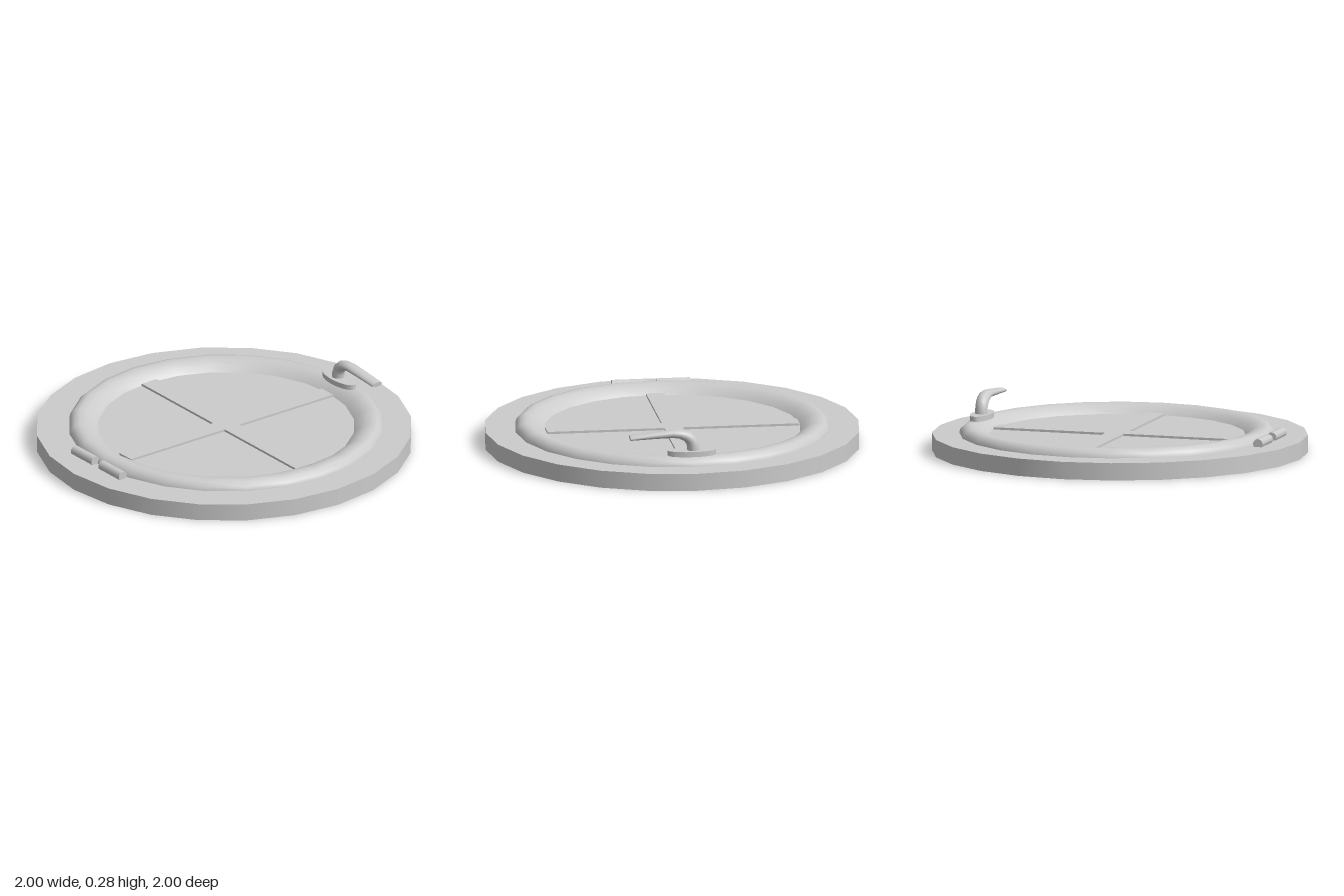
import * as THREE from 'three';

const SEG = 24, TOP = 0.093, RING_Z = -0.015;

export function createModel() {
  const model = new THREE.Group();
  const mat = new THREE.MeshStandardMaterial({ color: 0xcccccc, side: THREE.DoubleSide });
  const add = (name, geometry, x = 0, y = 0, z = 0) => {
    const mesh = new THREE.Mesh(geometry, mat);
    mesh.name = name;
    mesh.position.set(x, y, z);
    model.add(mesh);
    return mesh;
  };

  // Outer frame: an open-bottomed rim with a flat annulus on top
  add('frameWall', new THREE.CylinderGeometry(1, 1, TOP, SEG, 1, true), 0, TOP / 2);
  add('frameTop', new THREE.RingGeometry(0.81, 1, SEG).rotateX(-Math.PI / 2), 0, TOP);

  // Domed sash ring, hollow underneath
  const profile = [
    [0.84, 0.093], [0.834, 0.114], [0.812, 0.134], [0.785, 0.14],
    [0.75, 0.136], [0.712, 0.118], [0.683, 0.09],
  ].map(([r, y]) => new THREE.Vector2(r, y));
  add('sashRing', new THREE.LatheGeometry(profile, SEG), 0, 0, RING_Z);

  // Pane and crossed glazing bars
  add('pane', new THREE.CircleGeometry(0.69, SEG).rotateX(-Math.PI / 2), 0, 0.09, RING_Z);
  add('glazingBarAcross', new THREE.BoxGeometry(1.35, 0.02, 0.1), 0, 0.092, RING_Z);
  add('glazingBarAlong', new THREE.BoxGeometry(0.1, 0.02, 1.35), 0, 0.092, RING_Z);

  // Hinge barrels at the front
  for (const side of [-1, 1]) {
    const barrel = new THREE.CylinderGeometry(0.027, 0.027, 0.18, 12).rotateZ(Math.PI / 2);
    add(side > 0 ? 'leftHinge' : 'rightHinge', barrel, side * 0.12, 0.109, 0.835);
  }

  // Oval handle plate at the back
  const plate = new THREE.CylinderGeometry(1, 1, 0.028, 24);
  plate.scale(0.13, 1, 0.053);
  add('handlePlate', plate, 0, 0.152, -0.77);

  // Bent lever, flattening towards its tip
  add('handleLever', leverGeometry(), 0, 0, -0.77);

  return model;
}

// Sweeps an oval along the lever path: x, y, half thickness
function leverGeometry() {
  const stations = [
    [-0.01, 0.155, 0.033], [-0.008, 0.19, 0.033], [0.002, 0.218, 0.032],
    [0.025, 0.24, 0.029], [0.06, 0.253, 0.025], [0.1, 0.257, 0.022],
    [0.2, 0.251, 0.018], [0.33, 0.241, 0.013],
  ];
  const sides = 12, positions = [], index = [];
  stations.forEach(([x, y, t], i) => {
    const a = stations[Math.max(i - 1, 0)];
    const b = stations[Math.min(i + 1, stations.length - 1)];
    const angle = Math.atan2(b[1] - a[1], b[0] - a[0]);
    for (let k = 0; k < sides; k++) {
      const u = (k / sides) * Math.PI * 2;
      const n = Math.cos(u) * t;
      positions.push(x - Math.sin(angle) * n, y + Math.cos(angle) * n, Math.sin(u) * 0.034);
      if (i === 0) continue;
      const k2 = (k + 1) % sides, p = (i - 1) * sides, q = i * sides;
      index.push(p + k, q + k, p + k2, p + k2, q + k, q + k2);
    }
  });
  // Flat cap at the tip, with its own vertices for a sharp edge
  const last = (stations.length - 1) * sides, cap = positions.length / 3;
  positions.push(...positions.slice(last * 3));
  for (let k = 1; k < sides - 1; k++) index.push(cap, cap + k + 1, cap + k);
  const geometry = new THREE.BufferGeometry();
  geometry.setAttribute('position', new THREE.Float32BufferAttribute(positions, 3));
  // Turn every face outward
  for (let f = 0; f < index.length; f += 3) [index[f + 1], index[f + 2]] = [index[f + 2], index[f + 1]];
  geometry.setIndex(index);
  geometry.computeVertexNormals();
  return geometry;
}
